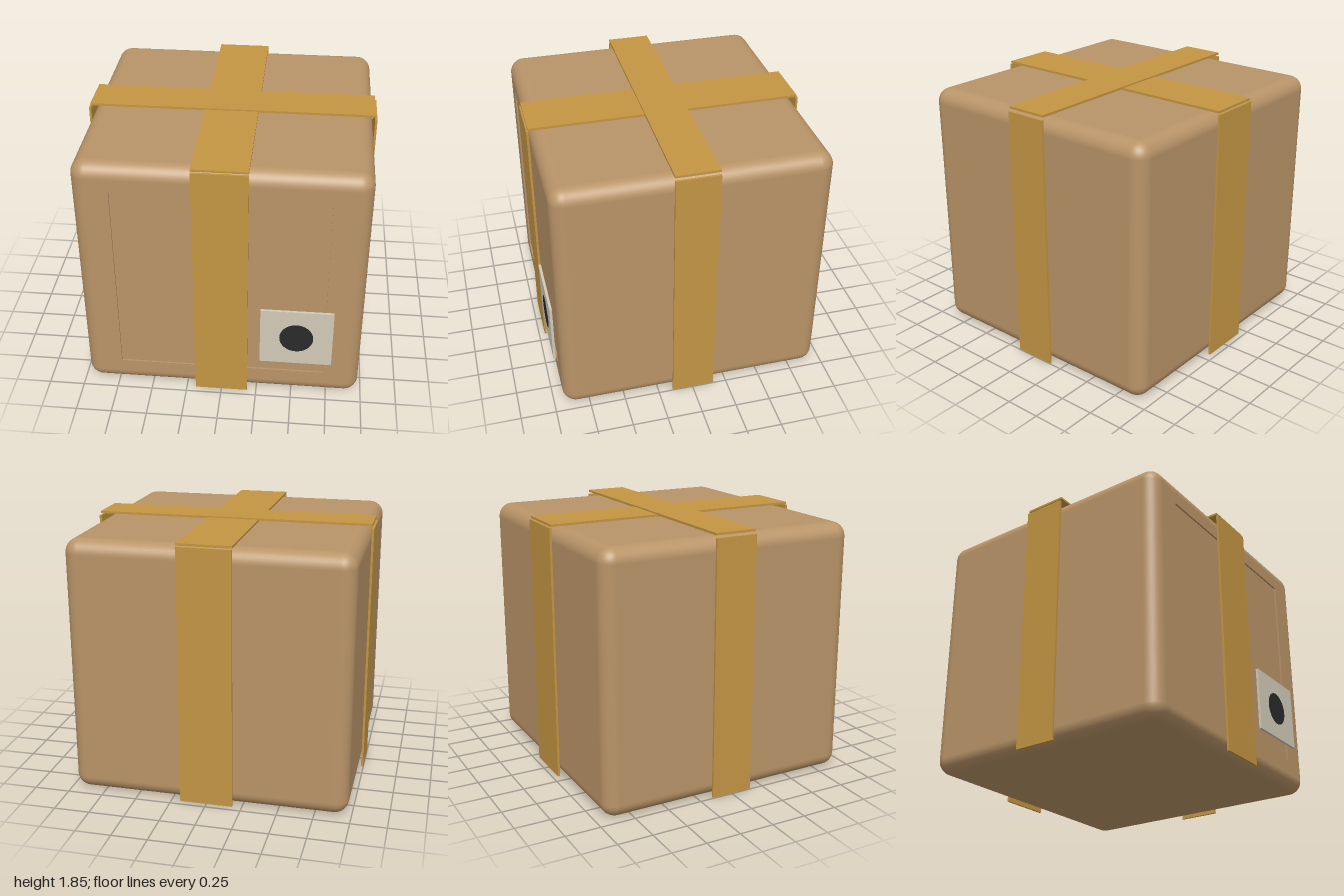
import * as THREE from 'three';
import { RoundedBoxGeometry } from 'three/addons/geometries/RoundedBoxGeometry.js';

const W = 1.95, H = 1.818, D = 1.876, R = 0.1, MID_Z = -0.005;
const FRONT = MID_Z + D / 2;

const cardboard = new THREE.MeshStandardMaterial({ color: 0xb99468 });
const tape = new THREE.MeshStandardMaterial({ color: 0xc39543 });
const paper = new THREE.MeshStandardMaterial({ color: 0xd2cab9 });
const ink = new THREE.MeshStandardMaterial({ color: 0x2a2a2a });

function rect(Type, x0, y0, x1, y1) {
  const pts = [[x0, y0], [x1, y0], [x1, y1], [x0, y1]];
  return new Type(pts.map(([x, y]) => new THREE.Vector2(x, y)));
}

// Rounded carton with its flat front quad removed, to make room for the recess
function openFrontCarton() {
  const geo = new RoundedBoxGeometry(W, H, D, 6, R);
  const p = geo.attributes.position, n = geo.attributes.normal;
  const keep = [];
  for (let i = 0; i < p.count; i += 3) {
    const flatFront = [0, 1, 2].every((k) => n.getZ(i + k) > 0.9999 && p.getZ(i + k) > D / 2 - 1e-4);
    if (!flatFront) keep.push(i, i + 1, i + 2);
  }
  geo.setIndex(keep);
  geo.clearGroups();
  return geo;
}

export function createModel() {
  const group = new THREE.Group();

  function add(name, geometry, material, x, y, z, parent = group) {
    const mesh = new THREE.Mesh(geometry, material);
    mesh.name = name;
    mesh.position.set(x, y, z);
    parent.add(mesh);
    return mesh;
  }

  // Carton
  const carton = new THREE.Group();
  carton.name = 'carton';
  group.add(carton);
  add('cartonShell', openFrontCarton(), cardboard, 0, H / 2, MID_Z, carton);

  // Front face framing a shallow recessed panel
  const depth = 0.012;
  const [px0, py0, px1, py1] = [-0.72, 0.195, 0.72, 1.63];
  const face = rect(THREE.Shape, -W / 2 + R, R, W / 2 - R, H - R);
  face.holes.push(rect(THREE.Path, px0, py0, px1, py1));
  const frame = new THREE.ExtrudeGeometry(face, { depth, bevelEnabled: false });
  add('frontFrame', frame, cardboard, 0, 0, FRONT - depth, carton);
  add('recessedPanel', new THREE.PlaneGeometry(px1 - px0, py1 - py0), cardboard,
    (px0 + px1) / 2, (py0 + py1) / 2, FRONT - depth, carton);

  // Tape strips down the four sides
  const t = 0.016, sideH = 1.813;
  for (const s of [1, -1]) {
    add(s > 0 ? 'leftTape' : 'rightTape', new THREE.BoxGeometry(t, sideH, 0.3), tape,
      s * 0.992, 0.004 + sideH / 2, -0.003);
    add(s > 0 ? 'frontTape' : 'backTape', new THREE.BoxGeometry(0.37, sideH, t), tape,
      0, 0.004 + sideH / 2, s * 0.953 - 0.003);
  }

  // Crossing strips over the top
  add('topTapeLengthwise', new THREE.BoxGeometry(0.37, t, 1.9), tape, 0, 1.832, -0.003);
  add('topTapeCrosswise', new THREE.BoxGeometry(1.975, t, 0.3), tape, 0, 1.842, -0.003);

  // Label with a round mark
  add('label', new THREE.BoxGeometry(0.502, 0.455, 0.018), paper, 0.524, 0.53, 0.957);
  const mark = new THREE.CylinderGeometry(0.117, 0.117, 0.004, 48).rotateX(Math.PI / 2);
  add('labelMark', mark, ink, 0.524, 0.53, 0.966);

  return group;
}
